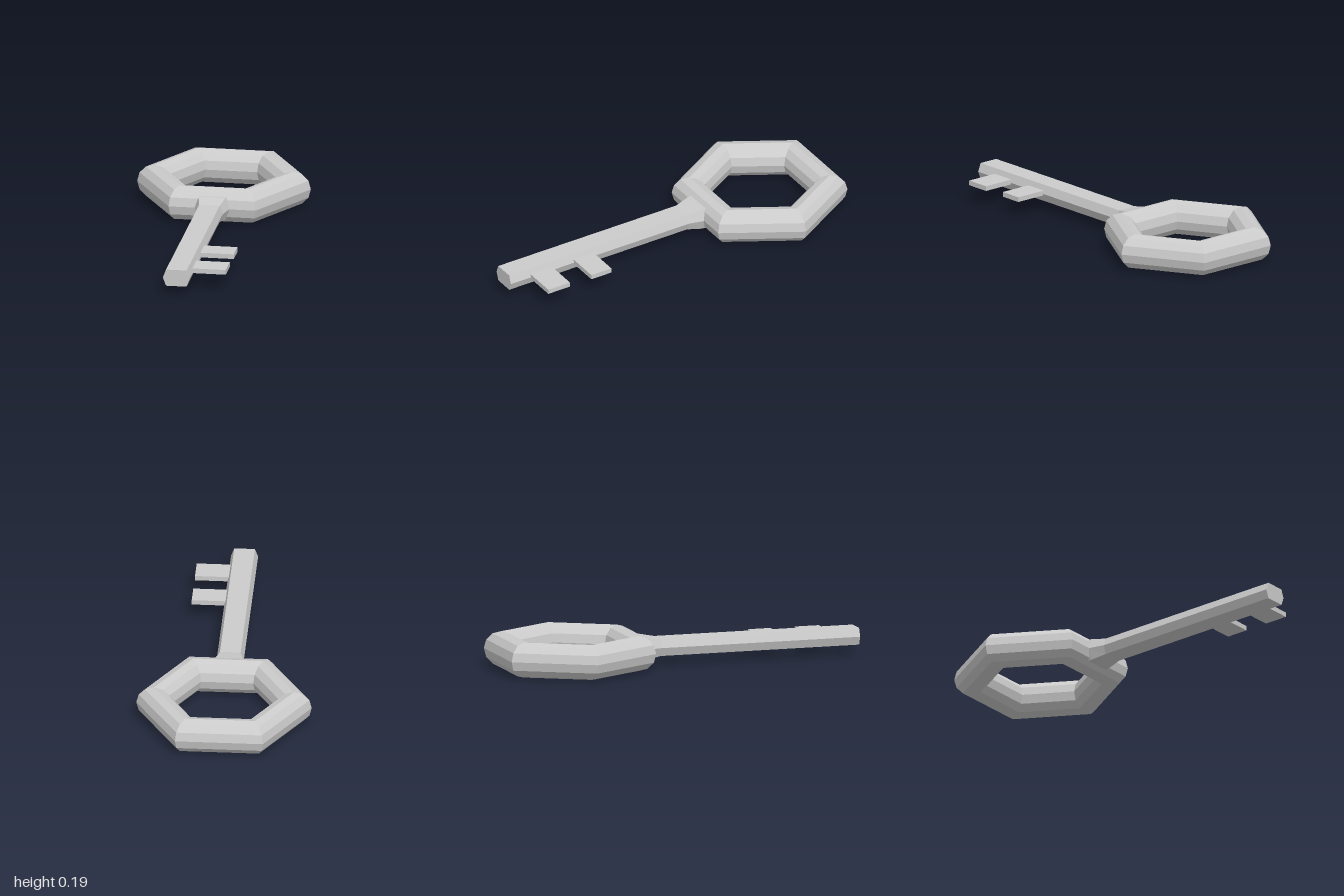
import * as THREE from 'three';

const material = new THREE.MeshStandardMaterial({ color: 0xcccccc, flatShading: true });
const MID = 0.097;

function addMesh(group, name, geometry, x = 0, y = 0, z = 0) {
  const mesh = new THREE.Mesh(geometry, material);
  mesh.name = name;
  mesh.position.set(x, y, z);
  group.add(mesh);
}

// Closed loft along z; each section is [z, half width, flat half width, half height]
function loftHexagon(sections) {
  const positions = [];
  const index = [];
  for (const [z, w, f, h] of sections) {
    positions.push(w, 0, z, f, h, z, -f, h, z, -w, 0, z, -f, -h, z, f, -h, z);
  }
  for (let s = 0; s < sections.length - 1; s++) {
    for (let i = 0; i < 6; i++) {
      const a = s * 6 + i;
      const b = s * 6 + ((i + 1) % 6);
      index.push(a, b, b + 6, a, b + 6, a + 6);
    }
  }
  const last = (sections.length - 1) * 6;
  for (let i = 1; i < 5; i++) {
    index.push(0, i + 1, i);
    index.push(last, last + i, last + i + 1);
  }
  const geometry = new THREE.BufferGeometry();
  geometry.setAttribute('position', new THREE.Float32BufferAttribute(positions, 3));
  geometry.setIndex(index);
  geometry.computeVertexNormals();
  return geometry;
}

export function createModel() {
  const key = new THREE.Group();
  key.name = 'key';

  // Six-sided ring handle lying flat
  const ring = new THREE.TorusGeometry(0.372, 0.094, 12, 6);
  ring.rotateX(Math.PI / 2);
  addMesh(key, 'ringHandle', ring, 0, MID, -0.597);

  // Hexagonal shaft flaring into the ring
  const shaft = loftHexagon([
    [-0.25, 0.095, 0.074, 0.061],
    [-0.195, 0.093, 0.072, 0.06],
    [-0.11, 0.072, 0.055, 0.045],
    [1, 0.072, 0.055, 0.045],
  ]);
  addMesh(key, 'shaft', shaft, 0, MID, 0);

  // Two flat teeth on the left side of the shaft
  for (const [z, depth] of [[0.543, 0.125], [0.807, 0.135]]) {
    addMesh(key, 'tooth', new THREE.BoxGeometry(0.195, 0.026, depth), 0.148, 0.101, z);
  }
  return key;
}
